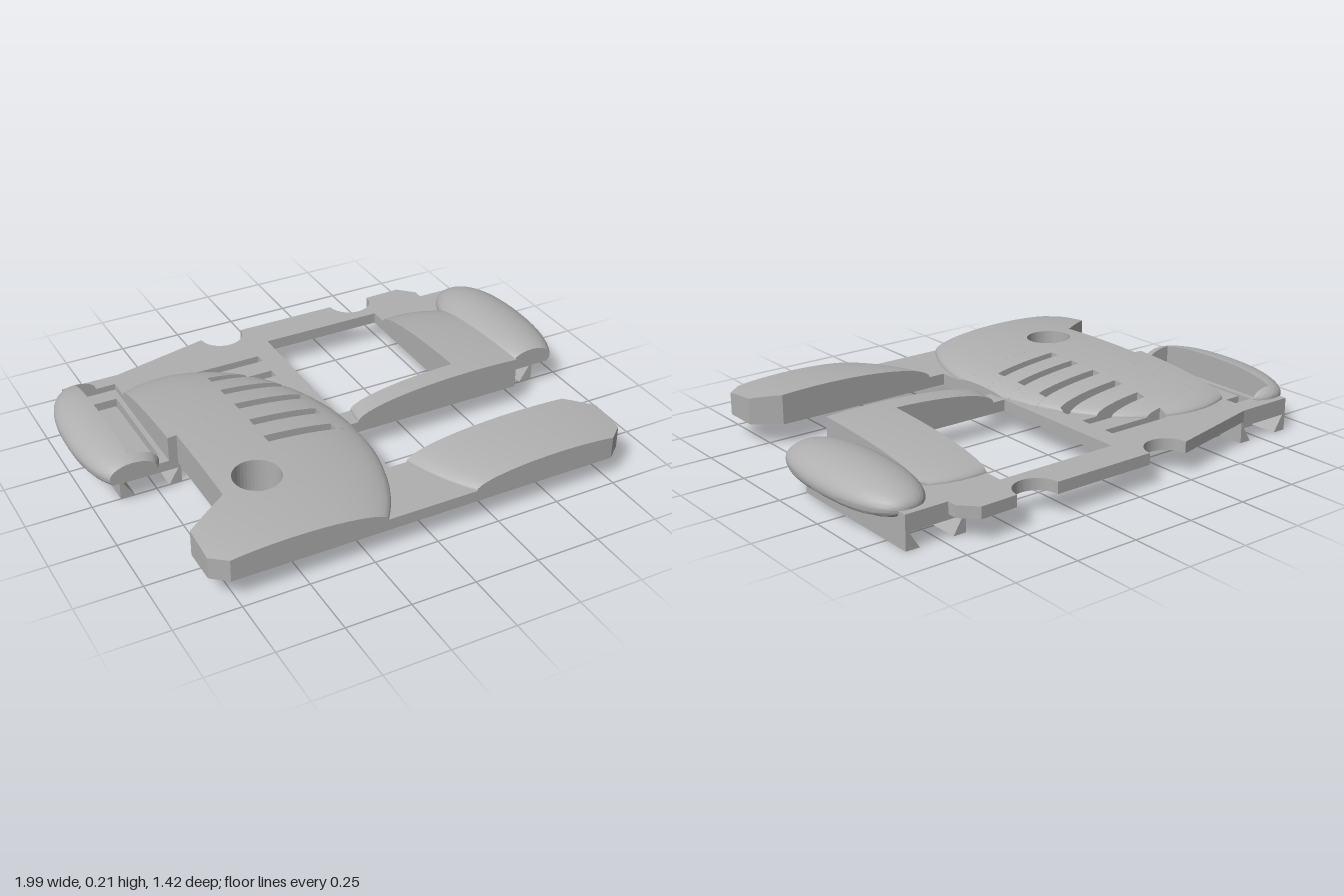
import * as THREE from 'three';
import { toCreasedNormals } from 'three/addons/utils/BufferGeometryUtils.js';

const grey = new THREE.MeshStandardMaterial({ color: 0xb0b0b0, side: THREE.DoubleSide });
grey.name = 'plain grey';

const DECK = 0.13, UNDER = 0.085;
const SLOTS = [-0.46, -0.335, -0.208, -0.08, 0.05, 0.175], SLOT_HALF = 0.021;
const SLOT_A = -0.385, SLOT_B = -0.11;
const HOLE = { x: -0.51, z: 0.365, r: 0.09 };
const DOME = { x: 0.53, z: 0.2, rx: 0.515, rz: 0.7, ry: 0.083 };

const add = (group, name, geometry) => {
  const mesh = new THREE.Mesh(geometry, grey);
  mesh.name = name;
  group.add(mesh);
  return mesh;
};
const box = (x0, x1, y0, y1, z0, z1) =>
  new THREE.BoxGeometry(x1 - x0, y1 - y0, z1 - z0).translate((x0 + x1) / 2, (y0 + y1) / 2, (z0 + z1) / 2);

// Closed path from [x, z] pairs; plan shapes use y = -z
const planPath = (pts, Type = THREE.Path) => new Type(pts.map(([x, z]) => new THREE.Vector2(x, -z)));
const rect = (x0, x1, z0, z1) => planPath([[x0, z0], [x1, z0], [x1, z1], [x0, z1]]);
function slab(shape, y0, y1) {
  return new THREE.ExtrudeGeometry(shape, { depth: y1 - y0, bevelEnabled: false, curveSegments: 20 })
    .rotateX(-Math.PI / 2).translate(0, y0, 0);
}

// Flat base plate with window, vents, round hole and back notches
function basePlate() {
  const s = new THREE.Shape();
  s.moveTo(-0.66, 0.71);
  for (const x of [-0.1725, 0.4225]) s.absarc(x, 0.705, 0.0875, Math.PI, 2 * Math.PI, false);
  const rest = [[0.66, -0.71], [0.72, -0.65], [0.72, -0.61], [0.89, -0.61], [0.89, 0], [0.72, 0], [0.72, 0.13],
    [-0.025, 0.13], [-0.025, 0.44], [0.72, 0.44], [0.82, 0.52], [0.82, 0.66], [0.76, 0.71], [-0.77, 0.71],
    [-0.83, 0.66], [-0.83, 0.52], [-0.66, 0.41], [-0.66, 0], [-0.695, 0], [-0.695, -0.55], [-0.855, -0.55],
    [-0.855, 0], [-0.89, 0], [-0.89, -0.61], [-0.66, -0.61]];
  rest.forEach(([x, z]) => s.lineTo(x, -z));
  s.holes.push(rect(-0.025, 0.475, -0.57, 0.045));
  for (const z of SLOTS) s.holes.push(rect(SLOT_A, SLOT_B, z - SLOT_HALF, z + SLOT_HALF));
  s.holes.push(new THREE.Path().absarc(HOLE.x, -HOLE.z, HOLE.r, 0, 2 * Math.PI, true));
  return slab(s, UNDER, DECK);
}

// Half width of the dome's elliptical footprint at z
const reach = z => DOME.rx * Math.sqrt(Math.max(0, 1 - ((z - DOME.z) / DOME.rz) ** 2));

// Domed surface built from bands, each between two x limits over a z range
function domeGeometry(cx, bands) {
  const pos = [], nor = [], N = 18;
  const ease = k => (1 - Math.cos(Math.PI * k / N)) / 2;
  const put = (p, n) => { pos.push(p.x, p.y, p.z); nor.push(n.x, n.y, n.z); };
  const point = (x, z) => {
    const u = (x - cx) / DOME.rx, w = (z - DOME.z) / DOME.rz;
    const h = Math.sqrt(Math.max(0, 1 - u * u - w * w));
    const p = new THREE.Vector3(x, DECK + DOME.ry * h, z);
    p.normalDir = new THREE.Vector3(u / DOME.rx, Math.max(h, 0.02) / DOME.ry, w / DOME.rz).normalize();
    return p;
  };
  for (const [z0, z1, left, right] of bands) {
    const g = [];
    for (let i = 0; i <= N; i++) {
      const z = z0 + (z1 - z0) * ease(i);
      const b = Math.min(right(z), cx + reach(z)), a = Math.min(Math.max(left(z), cx - reach(z)), b);
      g.push(Array.from({ length: N + 1 }, (_, j) => point(a + (b - a) * ease(j), z)));
    }
    for (let i = 0; i < N; i++) for (let j = 0; j < N; j++) {
      const a = g[i][j], b = g[i][j + 1], c = g[i + 1][j], d = g[i + 1][j + 1];
      for (const p of [a, c, b, b, c, d]) put(p, p.normalDir);
    }
    // Walls from the rim of the band down to the deck
    const rim = [...g[0], ...g.map(r => r[N]), ...[...g[N]].reverse(), ...g.map(r => r[0]).reverse()];
    for (let k = 0; k < rim.length - 1; k++) {
      const p = rim[k], q = rim[k + 1];
      const n = new THREE.Vector3(q.z - p.z, 0, p.x - q.x);
      if (n.length() < 1e-5 || Math.max(p.y, q.y) < DECK + 1e-4) continue;
      n.normalize();
      const pd = p.clone().setY(DECK), qd = q.clone().setY(DECK);
      for (const v of [p, q, pd, q, qd, pd]) put(v, n);
    }
  }
  const geo = new THREE.BufferGeometry();
  geo.setAttribute('position', new THREE.Float32BufferAttribute(pos, 3));
  geo.setAttribute('normal', new THREE.Float32BufferAttribute(nor, 3));
  return geo;
}

const at = v => () => v;
const slope = (z0, x0, z1, x1) => z => x0 + (x1 - x0) * (z - z0) / (z1 - z0);

function rightDome() {
  const cuts = SLOTS.flatMap(z => [z - SLOT_HALF, z + SLOT_HALF]);
  const breaks = [-0.5, ...cuts, 0, HOLE.z - HOLE.r, 0.41, HOLE.z + HOLE.r, 0.52, 0.66, 0.71].sort((a, b) => a - b);
  const chord = z => Math.sqrt(Math.max(0, HOLE.r ** 2 - (z - HOLE.z) ** 2));
  const bands = [], inner = at(-0.025);
  for (let i = 0; i < breaks.length - 1; i++) {
    const z0 = breaks[i], z1 = breaks[i + 1], m = (z0 + z1) / 2;
    const outer = m < 0 ? at(-0.695) : m < 0.41 ? at(-0.66) : m < 0.52 ? slope(0.41, -0.66, 0.52, -0.83)
      : m < 0.66 ? at(-0.83) : slope(0.66, -0.83, 0.71, -0.77);
    if (SLOTS.some(z => Math.abs(z - m) < SLOT_HALF)) {
      bands.push([z0, z1, outer, at(SLOT_A)], [z0, z1, at(SLOT_B), inner]);
    } else if (Math.abs(m - HOLE.z) < HOLE.r) {
      bands.push([z0, z1, outer, z => HOLE.x - chord(z)], [z0, z1, z => HOLE.x + chord(z), inner]);
    } else bands.push([z0, z1, outer, inner]);
  }
  return domeGeometry(-DOME.x, bands);
}

const leftDome = () => domeGeometry(DOME.x, [
  [-0.5, 0.045, at(0.475), at(0.72)],
  [0.045, 0.13, at(-0.025), at(0.72)],
  [0.44, 0.52, at(0), slope(0.44, 0.72, 0.52, 0.82)],
  [0.52, 0.66, at(0), at(0.82)],
  [0.66, 0.71, at(0), slope(0.66, 0.82, 0.71, 0.76)],
]);

// Rounded side pod lofted along z, flat underneath and optionally cut at xMax
function pod(cx, z0, z1, xMax = 9) {
  const pos = [], idx = [], R = 36, S = 48;
  for (let i = 0; i <= R; i++) {
    const z = z0 + (z1 - z0) * (1 - Math.cos(Math.PI * i / R)) / 2;
    const k = Math.max(0, 1 - Math.abs((z + 0.24) / 0.345) ** 2.3) ** (1 / 2.3);
    for (let j = 0; j < S; j++) {
      const t = 2 * Math.PI * j / S;
      pos.push(Math.min(xMax, cx + 0.15 * k * Math.cos(t)), Math.max(0.105, DECK + 0.08 * k * Math.sin(t)), z);
    }
  }
  for (let i = 0; i < R; i++) for (let j = 0; j < S; j++) {
    const a = i * S + j, b = i * S + (j + 1) % S;
    idx.push(a, b, a + S, b, b + S, a + S);
  }
  for (let j = 1; j < S - 1; j++) idx.push(0, j + 1, j, R * S, R * S + j, R * S + j + 1);
  const geo = new THREE.BufferGeometry();
  geo.setAttribute('position', new THREE.Float32BufferAttribute(pos, 3));
  geo.setIndex(idx);
  return toCreasedNormals(geo, 0.6);
}

// Undercut lip running along the underside of a rail
function railLip(side, pts) {
  const s = new THREE.Shape(pts.map(([x, y]) => new THREE.Vector2(side * x, y)));
  return new THREE.ExtrudeGeometry(s, { depth: 0.61, bevelEnabled: false }).translate(0, 0, -0.61);
}

export function createModel() {
  const model = new THREE.Group();
  model.name = 'coverPlate';
  add(model, 'basePlate', basePlate());
  add(model, 'rightDome', rightDome());
  add(model, 'leftDome', leftDome());

  // Side pods: whole on the left, opened for the latch on the right
  add(model, 'leftPod', pod(0.845, -0.585, 0.052));
  add(model, 'rightPod', pod(-0.85, -0.585, 0.052, -0.855));
  add(model, 'rightPodFrontEnd', pod(-0.85, 0.01, 0.052));
  add(model, 'rightPodBackEnd', pod(-0.85, -0.585, -0.55));

  // Dovetail rails under both sides
  for (const side of [-1, 1]) {
    const name = side > 0 ? 'left' : 'right';
    add(model, name + 'RailOuterLip', railLip(side, [[0.835, 0], [0.89, 0], [0.89, 0.065], [0.877, 0.065]]));
    add(model, name + 'RailInnerLip', railLip(side, [[0.65, 0], [0.70, 0], [0.66, 0.065], [0.65, 0.065]]));
  }
  add(model, 'leftRailRoof', box(0.65, 0.89, 0.065, UNDER, -0.61, 0));

  // Right rail roof with a U-shaped slot that frees the latch tongue
  const roof = planPath([[-0.89, -0.61], [-0.65, -0.61], [-0.65, 0], [-0.89, 0]], THREE.Shape);
  roof.holes.push(planPath([[-0.83, -0.485], [-0.715, -0.485], [-0.715, -0.055], [-0.735, -0.055],
    [-0.735, -0.435], [-0.815, -0.435], [-0.815, -0.055], [-0.83, -0.055]]));
  add(model, 'rightRailRoof', slab(roof, 0.065, 0.105));
  add(model, 'latchCatch', box(-0.815, -0.735, 0.05, 0.065, -0.435, -0.37));
  return model;
}
